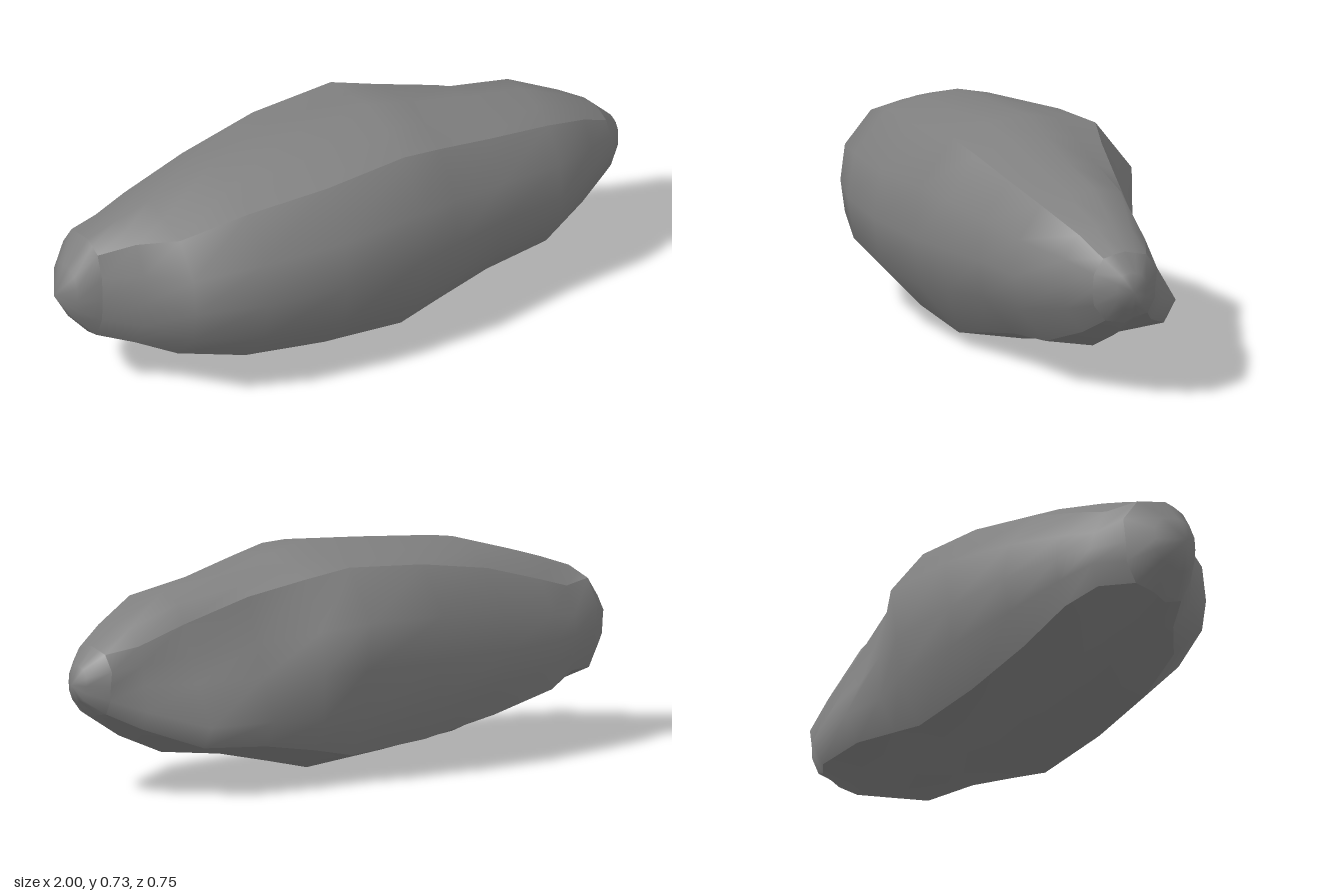
import * as THREE from 'three';
import { mergeVertices } from 'three/addons/utils/BufferGeometryUtils.js';

// Base cross-section as (z, y) fractions, from the top round the front, underside and back
const profile = [
  [0, 1], [0.32, 0.95], [0.66, 0.86], [0.95, 0.45], [1, 0], [0.95, -0.43], [0.6, -0.88], [0.3, -0.94],
  [0, -1], [-0.28, -0.86], [-0.7, -0.78], [-0.92, -0.39], [-0.94, 0], [-1, 0.43], [-0.66, 0.86], [-0.33, 0.93],
];

// Sections along the length: x, reach up, down, front and back, then, where the back is hollowed
// or chamfered, its own (z, y) points from the lower ridge to the upper one
const sections = [
  [-1, 0, 0, 0, 0],
  [-0.95, 0.09, 0.09, 0.065, 0.09],
  [-0.88, 0.175, 0.17, 0.1, 0.16],
  [-0.77, 0.215, 0.21, 0.175, 0.21, [[-0.18, -0.12], [-0.205, -0.05], [-0.21, 0], [-0.195, 0.06], [-0.15, 0.145]]],
  [-0.66, 0.25, 0.245, 0.305, 0.26, [[-0.23, -0.16], [-0.255, -0.08], [-0.26, 0], [-0.24, 0.08], [-0.17, 0.18]]],
  [-0.44, 0.315, 0.305, 0.37, 0.31, [[-0.235, -0.215], [-0.29, -0.11], [-0.31, 0], [-0.29, 0.12], [-0.195, 0.245]]],
  [-0.17, 0.34, 0.335, 0.395, 0.35],
  [0.11, 0.365, 0.36, 0.375, 0.36],
  [0.25, 0.335, 0.325, 0.34, 0.345, [[-0.25, -0.25], [-0.305, -0.15], [-0.305, 0], [-0.285, 0.13], [-0.2, 0.285]]],
  [0.44, 0.29, 0.28, 0.295, 0.32, [[-0.26, -0.215], [-0.305, -0.13], [-0.245, 0], [-0.205, 0.1], [-0.16, 0.245]]],
  [0.66, 0.255, 0.25, 0.265, 0.285, [[-0.24, -0.2], [-0.28, -0.13], [-0.205, 0], [-0.16, 0.08], [-0.125, 0.175]]],
  [0.82, 0.18, 0.18, 0.17, 0.18, [[-0.13, -0.14], [-0.165, -0.08], [-0.145, 0], [-0.13, 0.06], [-0.11, 0.12]]],
  [0.92, 0.115, 0.115, 0.11, 0.11],
  [0.975, 0.06, 0.06, 0.05, 0.05],
  [1, 0, 0, 0, 0],
];

const material = new THREE.MeshStandardMaterial({ color: 0x808080 });

function point([x, up, down, front, back, ownBack], column) {
  const c = column % profile.length;
  const [pz, py] = profile[c];
  const [z, y] = ownBack?.[c - 10] ?? [pz * (pz > 0 ? front : back), py * (py > 0 ? up : down)];
  return [x, 0.365 + y, -0.02 + z];
}

// Smooth patch between two sections and two profile columns; its borders stay sharp
function panel(name, r0, r1, c0, c1) {
  const pos = [], index = [];
  const n = c1 - c0 + 1;
  for (let r = r0; r <= r1; r++) {
    for (let c = c0; c <= c1; c++) {
      pos.push(...point(sections[r], c));
      if (r === r1 || c === c1) continue;
      const a = (r - r0) * n + c - c0;
      index.push(a, a + 1, a + n, a + 1, a + n + 1, a + n);
    }
  }
  const raw = new THREE.BufferGeometry();
  raw.setAttribute('position', new THREE.Float32BufferAttribute(pos, 3));
  raw.setIndex(index);
  const geo = mergeVertices(raw);
  geo.computeVertexNormals();
  const mesh = new THREE.Mesh(geo, material);
  mesh.name = name;
  return mesh;
}

export function createModel() {
  const group = new THREE.Group();
  group.name = 'rock';
  const tail = 2, nose = 12, end = sections.length - 1;
  group.add(
    // Rounded ends
    panel('rightTip', 0, tail, 0, 16),
    panel('leftTip', nose, end, 0, 16),
    // Long faces meeting in four ridges
    panel('frontFace', tail, nose, 2, 6),
    panel('underside', tail, nose, 6, 10),
    panel('backFace', tail, nose, 10, 14),
    panel('topFace', tail, nose, 14, 18),
  );
  return group;
}
